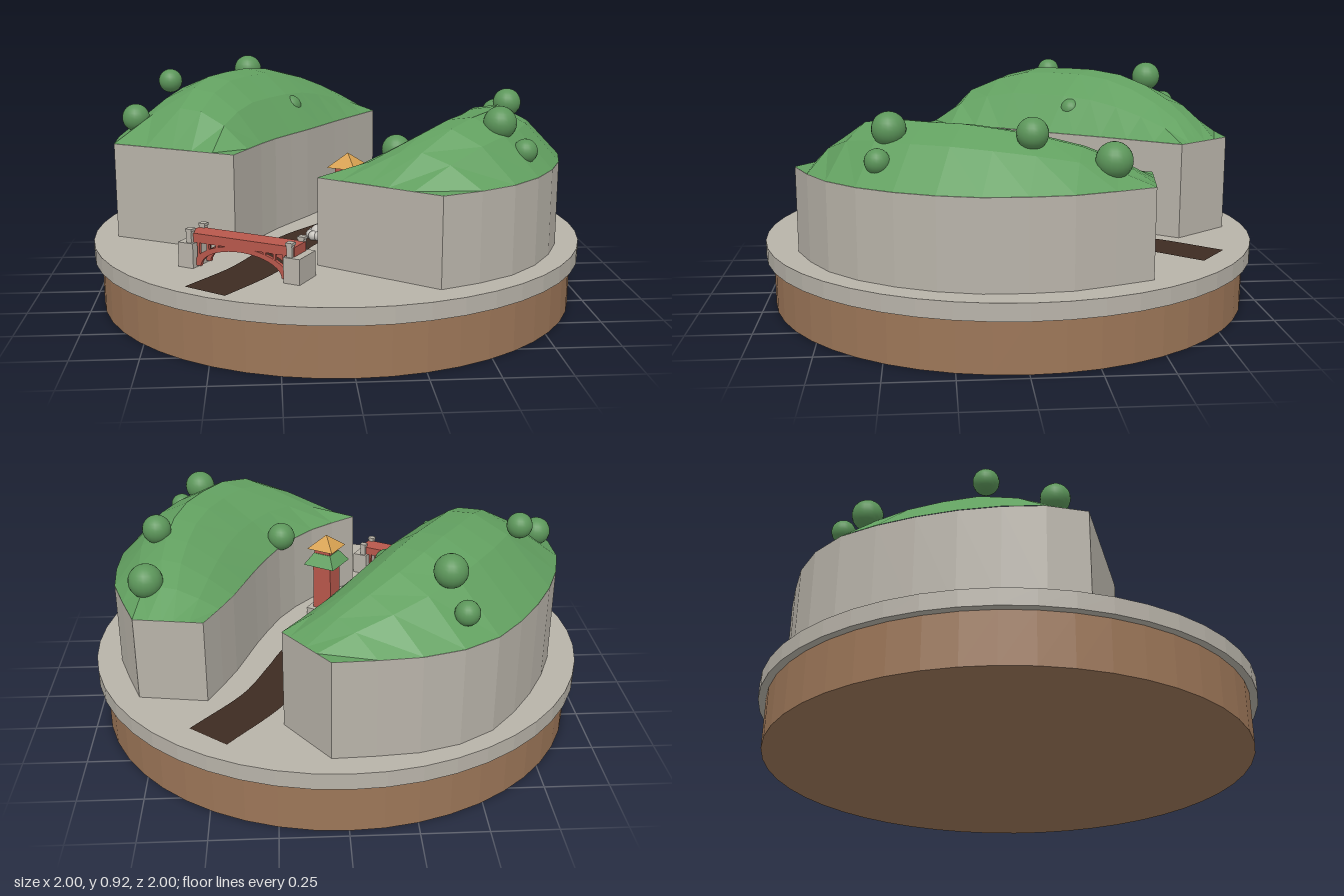
import * as THREE from 'three';

const mat = (name, color, flatShading = false, side = THREE.FrontSide) =>
  Object.assign(new THREE.MeshStandardMaterial({ color, flatShading, side }), { name });

const M = {
  earth: mat('earth brown', 0x9c7658, true),
  stone: mat('stone grey', 0xb8b3a9, true),
  grass: mat('grass green', 0x62a060, true),
  leaf: mat('leaf green', 0x5c965a),
  path: mat('dark path brown', 0x3d2b22, true, THREE.DoubleSide),
  red: mat('bridge red', 0xb9584c, true),
  gold: mat('roof gold', 0xd6a050, true),
  pale: mat('pale stone', 0xc9c6c0),
};
const GROUND = 0.265;

function add(parent, name, geometry, material, x = 0, y = 0, z = 0) {
  const mesh = new THREE.Mesh(geometry, material);
  mesh.name = name;
  mesh.position.set(x, y, z);
  parent.add(mesh);
  return mesh;
}

// Evenly spaced points along a smooth plan curve of [x, z] pairs
const sample = (pts, n) =>
  new THREE.CatmullRomCurve3(pts.map(([x, z]) => new THREE.Vector3(x, 0, z))).getSpacedPoints(n);

// Faceted skin over rows of points
function skin(rows) {
  const w = rows[0].length, index = [];
  for (let i = 0; i < rows.length - 1; i++)
    for (let j = 0; j < w - 1; j++) {
      const a = i * w + j, b = a + w;
      index.push(a, b, a + 1, b, b + 1, a + 1);
    }
  const g = new THREE.BufferGeometry().setFromPoints(rows.flat());
  g.setIndex(index);
  g.computeVertexNormals();
  return g;
}

// Curved plateau: stone cliff below, faceted grass dome above
function hill(name, innerPts, outerPts, top, heights, profile) {
  const group = new THREE.Group();
  group.name = name;
  const n = heights.length - 1;
  const inner = sample(innerPts, n), outer = sample(outerPts, n);
  const shape = new THREE.Shape(
    [...inner, ...outer.slice().reverse()].map(p => new THREE.Vector2(p.x, -p.z)));
  const cliff = new THREE.ExtrudeGeometry(shape, { depth: top - GROUND, bevelEnabled: false });
  cliff.rotateX(-Math.PI / 2);
  add(group, 'cliff', cliff, M.stone, 0, GROUND, 0);
  const rows = inner.map((p, i) => profile.map(([s, h]) => {
    const v = p.clone().lerp(outer[i], s);
    v.y = top + 0.001 + heights[i] * h;
    return v;
  }));
  add(group, 'grassDome', skin(rows), M.grass);
  return group;
}

function bridge() {
  const g = new THREE.Group();
  g.name = 'bridge';
  add(g, 'deck', new THREE.BoxGeometry(0.45, 0.035, 0.085), M.red, 0, 0.378, 0);
  // Elliptical arch ring
  const ring = new THREE.Shape();
  ring.absellipse(0, 0, 0.2, 0.092, 0, Math.PI, false);
  ring.absellipse(0, 0, 0.17, 0.074, Math.PI, 0, true);
  ring.closePath();
  const arch = new THREE.ExtrudeGeometry(ring, { depth: 0.014, bevelEnabled: false, curveSegments: 16 });
  for (const s of [-1, 1]) {
    add(g, 'arch', arch, M.red, 0, 0.272, s * 0.033 - 0.007);
    for (const x of [-0.18, -0.14, -0.1, 0.1, 0.14, 0.18]) {
      const foot = 0.268 + 0.092 * Math.sqrt(1 - (x / 0.2) ** 2);
      add(g, 'strut', new THREE.BoxGeometry(0.01, 0.37 - foot, 0.012), M.red, x, (0.37 + foot) / 2, s * 0.033);
    }
    add(g, 'abutment', new THREE.BoxGeometry(0.065, 0.095, 0.125), M.stone, s * 0.222, GROUND + 0.0475, 0);
    for (const z of [-0.045, 0.045]) {
      add(g, 'post', new THREE.BoxGeometry(0.022, 0.05, 0.022), M.stone, s * 0.21, 0.383, z);
      add(g, 'postCap', new THREE.BoxGeometry(0.028, 0.01, 0.028), M.stone, s * 0.21, 0.408, z);
    }
  }
  g.position.set(-0.37, 0, 0.582);
  g.rotation.y = -0.52;
  return g;
}

function pavilion() {
  const g = new THREE.Group();
  g.name = 'pavilion';
  const roof = (name, side, h, y, m, topSide = 0) => {
    const geo = new THREE.CylinderGeometry(topSide / Math.SQRT2, side / Math.SQRT2, h, 4);
    geo.rotateY(Math.PI / 4);
    add(g, name, geo, m, 0, y + h / 2, 0);
  };
  add(g, 'plinth', new THREE.BoxGeometry(0.13, 0.03, 0.13), M.stone, 0, GROUND + 0.015, 0);
  add(g, 'lowerStorey', new THREE.BoxGeometry(0.085, 0.22, 0.085), M.red, 0, 0.4, 0);
  roof('lowerRoof', 0.145, 0.05, 0.505, M.grass, 0.08);
  add(g, 'upperStorey', new THREE.BoxGeometry(0.075, 0.035, 0.075), M.red, 0, 0.565, 0);
  roof('upperRoof', 0.122, 0.055, 0.578, M.gold);
  g.position.set(0.03, 0, 0.24);
  g.rotation.y = -0.55;
  return g;
}

// Small lobed stone ornament beside the path
function ornament() {
  const g = new THREE.Group();
  g.name = 'stoneOrnament';
  const lobe = new THREE.SphereGeometry(0.02, 12, 8);
  for (let i = 0; i < 8; i++) {
    const a = i * Math.PI / 4;
    add(g, 'lobe', lobe, M.pale, 0.03 * Math.cos(a), GROUND + 0.02, 0.036 * Math.sin(a));
  }
  add(g, 'core', new THREE.SphereGeometry(0.032, 12, 8), M.pale, 0, GROUND + 0.028, 0);
  add(g, 'steppingStone', new THREE.BoxGeometry(0.04, 0.02, 0.025), M.stone, 0.055, GROUND + 0.01, 0.03);
  g.position.set(-0.085, 0, 0.175);
  return g;
}

export function createModel() {
  const model = new THREE.Group();
  model.name = 'valleyDiorama';

  // Round base
  add(model, 'earthBase', new THREE.CylinderGeometry(0.97, 0.97, 0.2, 48), M.earth, 0, 0.1, 0);
  add(model, 'stonePlate', new THREE.CylinderGeometry(1, 1, 0.065, 48), M.stone, 0, 0.2325, 0);

  // Winding path as a thin ribbon
  const line = new THREE.CatmullRomCurve3([[0.5, -0.75], [0.3, -0.5], [0.2, -0.28], [0.13, -0.12],
    [-0.02, 0.03], [-0.175, 0.22], [-0.28, 0.46], [-0.36, 0.61], [-0.51, 0.81]]
    .map(([x, z]) => new THREE.Vector3(x, GROUND + 0.004, z)));
  const rows = [];
  for (let i = 0; i <= 32; i++) {
    const p = line.getPointAt(i / 32), t = line.getTangentAt(i / 32);
    const side = new THREE.Vector3(-t.z, 0, t.x).multiplyScalar(0.09);
    rows.push([p.clone().sub(side), p.clone().add(side)].reverse());
  }
  add(model, 'path', skin(rows), M.path);

  // Two facing hills
  model.add(hill('rightHill',
    [[-0.415, 0.34], [-0.265, 0.04], [-0.105, -0.19], [0.03, -0.4], [0.225, -0.68]],
    [[-0.9, 0.085], [-0.9, -0.08], [-0.84, -0.28], [-0.77, -0.43], [-0.665, -0.6], [-0.53, -0.76],
      [-0.4, -0.84], [-0.25, -0.885], [0.06, -0.905]],
    0.65, [0, 0.14, 0.2, 0.235, 0.24, 0.24, 0.225, 0.19, 0.14, 0.08, 0],
    [[0, 0], [0.17, 0.6], [0.34, 0.95], [0.5, 1], [0.72, 0.75], [1, 0]]));
  model.add(hill('leftHill',
    [[0.515, -0.5], [0.42, -0.295], [0.325, -0.025], [0.22, 0.21], [0.085, 0.385], [-0.105, 0.53]],
    [[0.78, -0.46], [0.82, -0.35], [0.88, -0.19], [0.9, 0], [0.89, 0.19], [0.83, 0.375],
      [0.725, 0.56], [0.59, 0.7], [0.485, 0.765], [0.31, 0.84]],
    0.6, [0, 0.075, 0.13, 0.165, 0.19, 0.205, 0.205, 0.205, 0.18, 0.11, 0],
    [[0, 0], [0.2, 0.5], [0.42, 0.92], [0.58, 1], [0.78, 0.7], [1, 0]]));

  // Round bushes: x, y, z, radius
  for (const [x, y, z, r] of [
    [-0.42, 0.74, -0.74, 0.046], [-0.37, 0.86, -0.65, 0.062], [-0.695, 0.86, -0.245, 0.05],
    [-0.82, 0.74, -0.015, 0.056], [-0.18, 0.74, -0.285, 0.046], [0.74, 0.69, -0.315, 0.067],
    [0.72, 0.785, -0.03, 0.058], [0.225, 0.64, 0.215, 0.058], [0.58, 0.785, 0.47, 0.063],
    [0.67, 0.685, 0.51, 0.046]])
    add(model, 'bush', new THREE.SphereGeometry(r, 20, 14), M.leaf, x, y, z);

  model.add(bridge(), pavilion(), ornament());
  return model;
}
